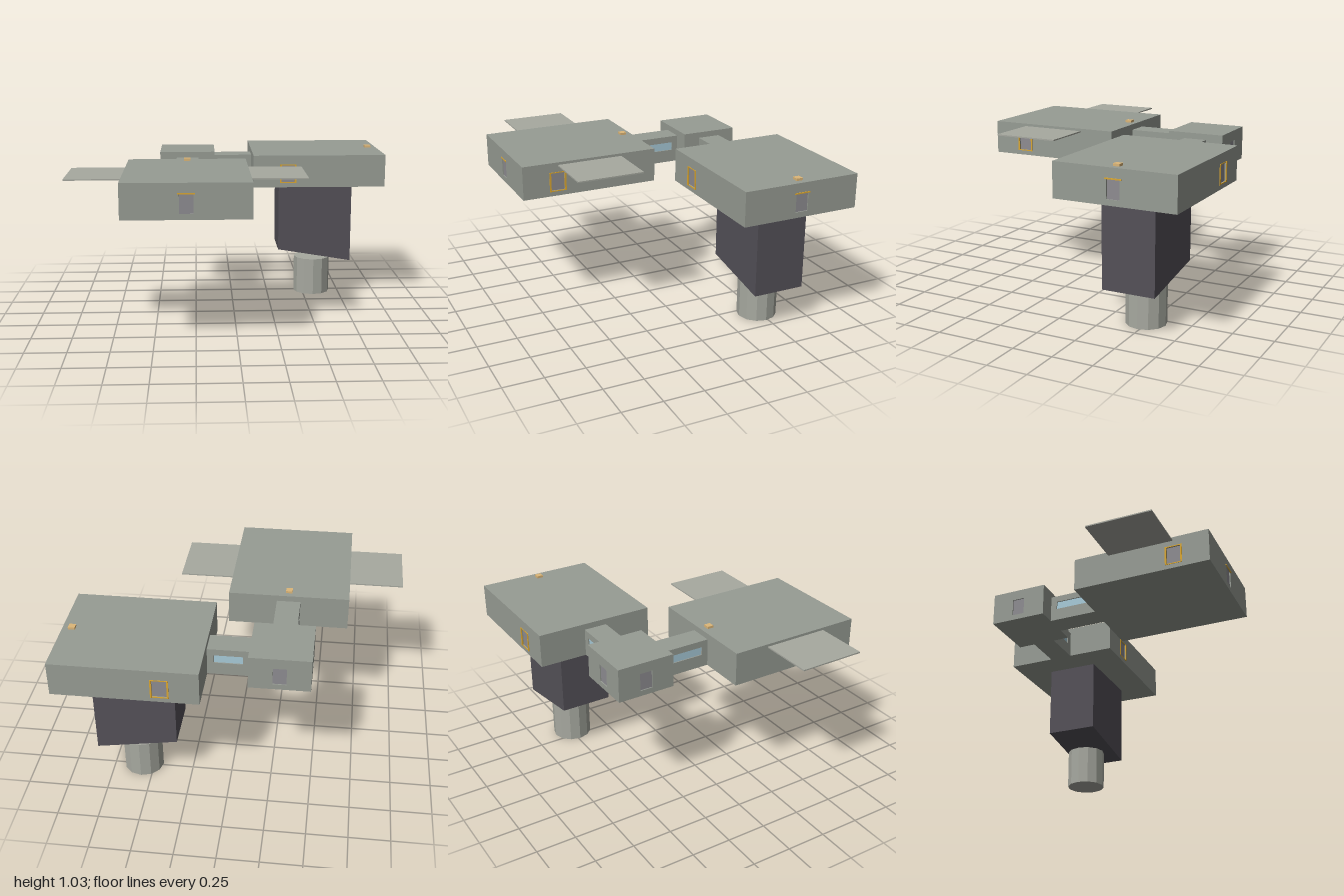
import * as THREE from 'three';

const mat = (color, extra = {}) => new THREE.MeshStandardMaterial({ color, ...extra });
const HULL = mat(0x979c94), PANEL = mat(0xa7a9a0), DARK = mat(0x545158), DOOR = mat(0x8e8c91);
const TRIM = mat(0xdca832), HATCH = mat(0xdcb678), GLASS = mat(0xa8cbd9);
const DRUM = mat(0xa7a9a0, { flatShading: true });

const T = 0.012; // wall thickness
const TURN = { front: 0, right: Math.PI / 2, back: Math.PI, left: -Math.PI / 2 };

function add(parent, name, geometry, material, x = 0, y = 0, z = 0) {
  const mesh = new THREE.Mesh(geometry, material);
  mesh.name = name;
  mesh.position.set(x, y, z);
  parent.add(mesh);
  return mesh;
}

function box(parent, name, material, w, h, d, x, y, z) {
  return add(parent, name, new THREE.BoxGeometry(w, h, d), material, x, y, z);
}

// Wall standing on y = 0 with its outer face at z = 0 and an optional opening
function wallGeometry(w, h, o) {
  const shape = new THREE.Shape();
  shape.moveTo(-w / 2, 0).lineTo(w / 2, 0).lineTo(w / 2, h).lineTo(-w / 2, h).closePath();
  if (o) {
    const hole = new THREE.Path();
    const l = o.u - o.w / 2, r = o.u + o.w / 2;
    hole.moveTo(l, o.v).lineTo(l, o.v + o.h).lineTo(r, o.v + o.h).lineTo(r, o.v).closePath();
    shape.holes.push(hole);
  }
  return new THREE.ExtrudeGeometry(shape, { depth: T, bevelEnabled: false }).translate(0, 0, -T);
}

// Hollow module between two corners; openings are given per side
function room(parent, name, [x0, x1], [y0, y1], [z0, z1], openings) {
  const g = new THREE.Group();
  g.name = name;
  const w = x1 - x0, h = y1 - y0, d = z1 - z0;
  g.position.set((x0 + x1) / 2, y0, (z0 + z1) / 2);
  parent.add(g);
  box(g, 'floor', HULL, w, T, d, 0, T / 2, 0);
  box(g, 'roof', HULL, w, T, d, 0, h - T / 2, 0);
  for (const side of Object.keys(TURN)) {
    const across = side === 'front' || side === 'back';
    const s = new THREE.Group();
    s.name = side + 'Side';
    s.rotation.y = TURN[side];
    const out = (across ? d : w) / 2;
    s.position.set(Math.sin(TURN[side]) * out, T, Math.cos(TURN[side]) * out);
    g.add(s);
    const o = openings[side];
    add(s, 'wall', wallGeometry(across ? w : d - 2 * T, h - 2 * T, o), HULL);
    if (!o) continue;
    const mid = o.v + o.h / 2;
    box(s, o.glass ? 'window' : 'door', o.glass ? GLASS : DOOR, o.w, o.h, 0.004, o.u, mid, -0.009);
    if (o.frame) {
      for (const k of [-1, 1]) {
        box(s, 'doorPost', TRIM, 0.01, o.h + 0.012, 0.008, o.u + k * (o.w / 2 + 0.005), mid, 0.001);
        box(s, 'doorRail', TRIM, o.w, 0.006, 0.004, o.u, mid + k * (o.h / 2 + 0.003), 0);
      }
    }
    if (o.bar) box(s, 'doorLintel', TRIM, o.w + 0.02, 0.008, 0.006, o.u, o.v + o.h + 0.004, 0.001);
  }
  return g;
}

const door = (u, style = {}) => ({ u, v: 0.022, w: 0.08, h: 0.11, ...style });
const framed = (u) => door(u, { w: 0.086, frame: true });
const barred = door(0, { bar: true });
const windowOf = (w) => ({ u: 0, v: 0.067, w, h: 0.052, glass: true });

export function createModel() {
  const model = new THREE.Group();
  model.name = 'station';
  const Y = [0.806, 1.015], LOW = [0.806, 0.978];

  // Main halls, junction and connecting corridors
  room(model, 'frontHall', [-0.668, 0.074], Y, [0, 0.86],
    { front: barred, right: framed(-0.21), left: framed(0.21) });
  room(model, 'rearHall', [0.133, 0.995], Y, [-0.86, -0.118],
    { front: framed(-0.205), right: barred, back: framed(0.205) });
  room(model, 'junction', [-0.48, -0.117], Y, [-0.67, -0.31], { back: door(0), left: door(0) });
  const glassZ = windowOf(0.23), glassX = windowOf(0.17);
  room(model, 'frontCorridor', [-0.37, -0.224], LOW, [-0.31, 0], { left: glassZ, right: glassZ });
  room(model, 'rearCorridor', [-0.117, 0.133], LOW, [-0.562, -0.416], { front: glassX, back: glassX });

  // Thin side wings
  for (const k of [-1, 1]) {
    box(model, k > 0 ? 'leftWing' : 'rightWing', PANEL, 0.333, 0.008, 0.412, -0.297 + k * 0.5365, 0.995, 0.43);
  }

  // Roof beacons
  for (const [x, z] of [[-0.297, 0.056], [0.938, -0.489]]) {
    box(model, 'roofBeacon', HATCH, 0.04, 0.014, 0.04, x, 1.022, z);
  }

  // Support tower with a slanted underside
  const profile = new THREE.Shape();
  profile.moveTo(0.316, 0.336).lineTo(0.811, 0.254).lineTo(0.811, 0.806).lineTo(0.316, 0.806).closePath();
  add(model, 'tower', new THREE.ExtrudeGeometry(profile, { depth: 0.33, bevelEnabled: false }), DARK, 0, 0, -0.652);

  // Drum below the tower
  add(model, 'drum', new THREE.CylinderGeometry(0.124, 0.124, 0.25, 12), DRUM, 0.566, 0.125, -0.487);
  return model;
}
